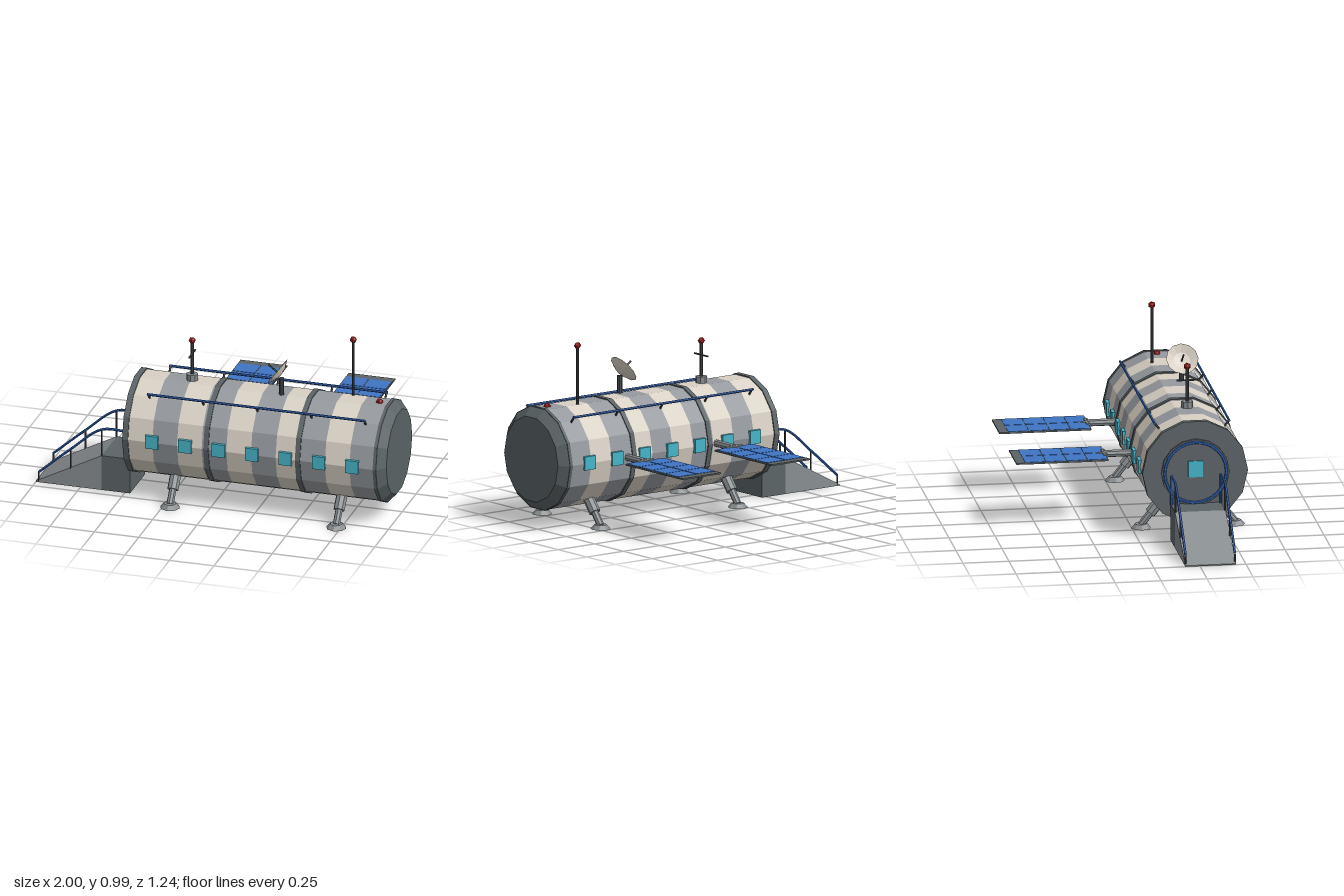
import * as THREE from 'three';

const mat = (name, color) => {
  const m = new THREE.MeshStandardMaterial({ color, flatShading: true });
  m.name = name;
  return m;
};

export function createModel() {
  const M = {
    beige: mat('beige panel', 0xd9d1c5),
    grey: mat('grey panel', 0x969a9f),
    dark: mat('dark metal', 0x5c6467),
    mast: mat('mast metal', 0x474c4f),
    steel: mat('steel', 0x888d90),
    red: mat('red lamp', 0xb3201f),
    glass: mat('teal glass', 0x46b4c8),
    rail: mat('rail blue', 0x2f62b4),
    solar: mat('solar blue', 0x3f74c4),
  };
  M.beige.side = THREE.DoubleSide;
  const model = new THREE.Group();
  const V = (x, y, z) => new THREE.Vector3(x, y, z);
  const CY = 0.375, CZ = 0.305, SIDES = 14, R = 0.281;

  const add = (name, geo, m, x = 0, y = 0, z = 0, parent = model) => {
    const mesh = new THREE.Mesh(geo, m);
    mesh.name = name;
    mesh.position.set(x, y, z);
    parent.add(mesh);
    return mesh;
  };
  const box = (name, w, h, d, m, x, y, z) => add(name, new THREE.BoxGeometry(w, h, d), m, x, y, z);
  // Straight rod from a to b
  const rod = (name, a, b, r0, m, sides = 8, r1 = r0) => {
    const mesh = add(name, new THREE.CylinderGeometry(r1, r0, a.distanceTo(b), sides), m);
    mesh.position.copy(a).add(b).multiplyScalar(0.5);
    mesh.quaternion.setFromUnitVectors(V(0, 1, 0), b.clone().sub(a).normalize());
    return mesh;
  };
  // Hull slice along x, with a flat facet on top
  const slice = (name, x0, x1, r0, r1, m, open = false, sides = SIDES) => {
    const mesh = add(name, new THREE.CylinderGeometry(r1, r0, x1 - x0, sides, 1, open), m, (x0 + x1) / 2, CY, CZ);
    mesh.rotation.z = -Math.PI / 2;
    return mesh;
  };
  const lamp = (x, y, z) => add('redLamp', new THREE.IcosahedronGeometry(0.02, 0), M.red, x, y, z);

  // Hull bands in two alternating colours
  const x0 = -0.44, step = 1.385 / 10;
  for (let i = 0; i < 10; i++)
    slice('hullBand', x0 + i * step, x0 + (i + 1) * step, R, R, i % 2 ? M.grey : M.beige, true);

  // Collars and end caps
  slice('frontCollar', -0.47, -0.438, 0.287, 0.287, M.dark);
  for (const x of [0, 0.515]) slice('hullRing', x - 0.014, x + 0.014, 0.287, 0.287, M.dark);
  slice('rearCollar', 0.938, 0.956, 0.286, 0.286, M.dark);
  slice('rearCap', 0.956, 1.0, 0.283, 0.235, M.dark);

  // Round door with its blue rim and window
  slice('door', -0.483, -0.47, 0.185, 0.185, M.dark, false, 16);
  const rim = add('doorRim', new THREE.TorusGeometry(0.168, 0.009, 6, 24), M.rail, -0.481, CY, CZ);
  rim.rotation.y = Math.PI / 2;
  box('doorWindow', 0.008, 0.09, 0.08, M.glass, -0.486, CY + 0.02, CZ);

  // Side windows
  for (let i = 0; i < 7; i++)
    for (const s of [-1, 1])
      box('window', 0.072, 0.074, 0.02, M.glass, -0.305 + i * 0.1877, 0.378, CZ + s * 0.279);

  // Roof rails on radial posts
  for (const s of [-1, 1]) {
    const z = CZ + s * 0.203, y = 0.62;
    rod('roofRail', V(-0.355, y, z), V(0.872, y, z), 0.007, M.rail, 6);
    for (let i = 0; i < 5; i++) {
      const x = -0.348 + i * 0.3035;
      rod('railPost', V(x, y - 0.04, z - s * 0.034), V(x, y, z), 0.006, M.mast, 6);
    }
  }

  // Landing legs
  for (const x of [-0.21, 0.725])
    for (const s of [-1, 1]) {
      const p = (dz, y) => V(x, y, CZ + s * dz);
      rod('upperLeg', p(0.12, 0.188), p(0.205, 0.082), 0.031, M.steel);
      rod('lowerLeg', p(0.195, 0.094), p(0.255, 0.018), 0.02, M.steel);
      rod('footPad', p(0.255, 0), p(0.255, 0.024), 0.055, M.steel, 8, 0.034);
    }

  // Entry platform and sloping ramp
  box('platform', 0.16, 0.2, 0.275, M.dark, -0.55, 0.1, 0.308);
  const wedge = new THREE.Shape([[-1, 0], [-0.63, 0], [-0.63, 0.2], [-1, 0.006]].map(p => new THREE.Vector2(...p)));
  add('ramp', new THREE.ExtrudeGeometry(wedge, { depth: 0.275, bevelEnabled: false }), M.steel, 0, 0, 0.1705);

  // Ramp handrails
  for (const z of [0.174, 0.442]) {
    const pts = [V(-0.985, 0.058, z), V(-0.805, 0.215, z), V(-0.63, 0.352, z), V(-0.48, 0.357, z)];
    add('handrail', new THREE.TubeGeometry(new THREE.CatmullRomCurve3(pts), 20, 0.007, 6), M.rail);
    rod('handrailEnd', V(-0.482, 0.2, z), V(-0.482, 0.36, z), 0.007, M.rail, 6);
    [0.005, 0.1, 0.2].forEach((y, i) => rod('handrailPost', V(pts[i].x, y, z), pts[i], 0.005, M.mast, 6));
  }

  // Short aerial with base and crossbar
  rod('aerialBase', V(-0.163, 0.64, 0.308), V(-0.163, 0.684, 0.308), 0.032, M.steel);
  rod('aerialMast', V(-0.163, 0.68, 0.308), V(-0.163, 0.87, 0.308), 0.01, M.mast);
  rod('aerialCrossbar', V(-0.163, 0.8, 0.25), V(-0.163, 0.8, 0.366), 0.005, M.mast, 6);
  lamp(-0.163, 0.878, 0.308);

  // Tall aerial and roof beacon
  rod('tallAerial', V(0.725, 0.62, 0.252), V(0.725, 0.96, 0.252), 0.008, M.mast);
  lamp(0.725, 0.972, 0.252);
  lamp(0.89, 0.652, CZ);

  // Dish on a post, tilted towards the door end
  rod('dishPost', V(0.355, 0.63, 0.357), V(0.355, 0.745, 0.357), 0.014, M.mast);
  const dish = new THREE.Group();
  dish.name = 'dish';
  dish.position.set(0.352, 0.76, 0.357);
  dish.quaternion.setFromUnitVectors(V(0, 1, 0), V(-0.8, 0.6, 0).normalize());
  model.add(dish);
  const bowl = [[0, 0], [0.045, 0.008], [0.088, 0.03]].map(p => new THREE.Vector2(...p));
  add('dishBowl', new THREE.LatheGeometry(bowl, 12), M.beige, 0, 0, 0, dish);
  add('dishFeed', new THREE.CylinderGeometry(0.005, 0.005, 0.088, 6), M.mast, 0, 0.046, 0, dish);

  // Solar wings on arms behind the hull
  for (const x of [-0.047, 0.56]) {
    rod('wingArm', V(x, CY, 0.06), V(x, CY, -0.125), 0.02, M.steel);
    rod('wingHinge', V(x - 0.055, CY, -0.125), V(x + 0.055, CY, -0.125), 0.014, M.steel);
    rod('wingBracket', V(x, CY, -0.125), V(x, CY, -0.175), 0.016, M.steel, 8, 0.008);
    box('wingFrame', 0.262, 0.008, 0.5, M.dark, x, CY, -0.372);
    for (let r = 0; r < 4; r++)
      for (const s of [-1, 1])
        box('solarCell', 0.123, 0.012, 0.108, M.solar, x + s * 0.0645, CY, -0.18 - r * 0.113);
  }
  return model;
}
